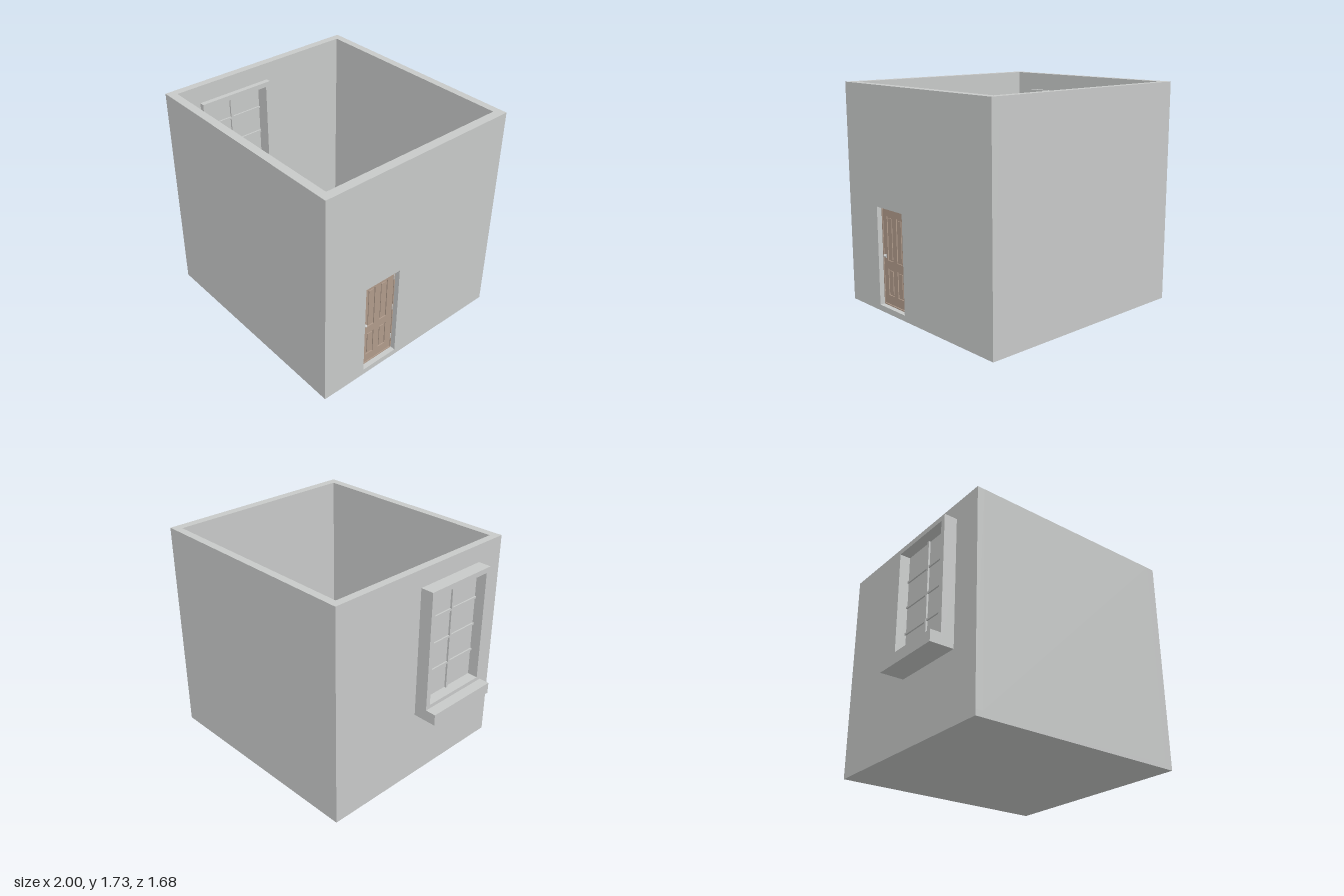
import * as THREE from 'three';

const gray = new THREE.MeshStandardMaterial({ color: 0xc8cac9, side: THREE.DoubleSide });
gray.name = 'plaster gray';
const wood = new THREE.MeshStandardMaterial({ color: 0xb09b8b, side: THREE.DoubleSide });
wood.name = 'light wood';

function group(name, parent) {
  const g = new THREE.Group();
  g.name = name;
  parent.add(g);
  return g;
}
function add(parent, name, geo, mat, x = 0, y = 0, z = 0) {
  const m = new THREE.Mesh(geo, mat);
  m.name = name;
  m.position.set(x, y, z);
  parent.add(m);
  return m;
}
// Box given by its limits on each axis
function box(parent, name, mat, [x0, x1], [y0, y1], [z0, z1]) {
  return add(parent, name, new THREE.BoxGeometry(x1 - x0, y1 - y0, z1 - z0), mat,
    (x0 + x1) / 2, (y0 + y1) / 2, (z0 + z1) / 2);
}
const rod = (parent, name, mat, r, h, x, y, z) =>
  add(parent, name, new THREE.CylinderGeometry(r, r, h, 12), mat, x, y + h / 2, z);
const ball = (parent, name, mat, r, x, y, z) =>
  add(parent, name, new THREE.SphereGeometry(r, 14, 10), mat, x, y, z);
const lathe = (parent, name, mat, pts, x, y, z) =>
  add(parent, name, new THREE.LatheGeometry(pts.map(p => new THREE.Vector2(...p)), 24), mat, x, y, z);

function rect(path, [z0, z1], [y0, y1]) {
  path.moveTo(-z1, y0).lineTo(-z0, y0).lineTo(-z0, y1).lineTo(-z1, y1).closePath();
  return path;
}
// Upright slab in the zy plane, with rectangular holes, running from x0 to x1
function slab(parent, name, mat, [x0, x1], z, y, holes = []) {
  const shape = rect(new THREE.Shape(), z, y);
  for (const [hz, hy] of holes) shape.holes.push(rect(new THREE.Path(), hz, hy));
  const geo = new THREE.ExtrudeGeometry(shape, { depth: x1 - x0, bevelEnabled: false });
  geo.rotateY(Math.PI / 2);
  return add(parent, name, geo, mat, x0);
}

function buildRoom(root) {
  const g = group('room', root);
  box(g, 'floor', gray, [-0.81, 1], [0, 0.045], [-0.84, 0.84]);
  box(g, 'backWall', gray, [-0.75, 0.93], [0.045, 1.73], [-0.84, -0.78]);
  box(g, 'frontWall', gray, [-0.75, 0.93], [0.045, 1.73], [0.775, 0.84]);
  slab(g, 'windowWall', gray, [-0.81, -0.75], [-0.84, 0.84], [0.045, 1.73], [[[-0.02, 0.57], [0.62, 1.57]]]);
  slab(g, 'doorWall', gray, [0.93, 1], [-0.84, 0.84], [0.045, 1.73], [[[0.15, 0.47], [0.046, 0.82]]]);
}

function buildWindow(root) {
  const g = group('window', root);
  slab(g, 'windowFrame', gray, [-0.915, -0.71], [-0.04, 0.59], [0.55, 1.59], [[[0, 0.55], [0.67, 1.55]]]);
  box(g, 'windowSill', gray, [-1, -0.9], [0.55, 0.64], [-0.04, 0.59]);
  box(g, 'windowPane', gray, [-0.83, -0.82], [0.67, 1.55], [0, 0.55]);
  box(g, 'mullion', gray, [-0.845, -0.805], [0.67, 1.55], [0.265, 0.285]);
  for (let i = 1; i < 4; i++) {
    const y = 0.67 + 0.22 * i;
    box(g, 'glazingBar', gray, [-0.842, -0.808], [y - 0.008, y + 0.008], [0, 0.55]);
  }
}

function buildDoor(root) {
  const g = group('door', root);
  const panels = [];
  for (const z of [[0.22, 0.29], [0.34, 0.41]])
    for (const y of [[0.13, 0.34], [0.405, 0.75]]) panels.push([z, y]);
  box(g, 'doorCore', wood, [0.937, 0.948], [0.058, 0.81], [0.16, 0.458]);
  for (const x of [[0.93, 0.937], [0.948, 0.956]])
    slab(g, 'doorFace', wood, x, [0.16, 0.458], [0.058, 0.81], panels);
  for (const [[z0, z1], [y0, y1]] of panels)
    box(g, 'raisedPanel', wood, [0.932, 0.954], [y0 + 0.013, y1 - 0.013], [z0 + 0.013, z1 - 0.013]);
  slab(g, 'doorFrame', wood, [0.93, 0.96], [0.15, 0.47], [0.046, 0.82], [[[0.158, 0.46], [0.055, 0.813]]]);
  // Knobs and key plates on both faces
  for (const [x, s] of [[0.956, 1], [0.93, -1]]) {
    ball(g, 'doorKnob', gray, 0.011, x + s * 0.014, 0.44, 0.433);
    box(g, 'keyPlate', gray, s > 0 ? [x, x + 0.003] : [x - 0.003, x], [0.42, 0.45], [0.427, 0.439]);
  }
  for (const y of [0.14, 0.43, 0.72]) rod(g, 'hinge', gray, 0.004, 0.05, 0.957, y, 0.158);
}

function buildBed(root) {
  const g = group('bed', root);
  for (const [z, top] of [[-0.75, 0.42], [0.07, 0.3]]) {
    for (const x of [-0.24, 0.125]) {
      rod(g, 'bedPost', wood, 0.009, top - 0.045, x, 0.045, z);
      ball(g, 'bedPostCap', wood, 0.013, x, top, z);
    }
    box(g, 'bedBoard', wood, [-0.24, 0.125], [0.12, top - 0.03], [z - 0.006, z + 0.006]);
  }
  for (const x of [-0.238, 0.123]) box(g, 'sideRail', wood, [x - 0.004, x + 0.004], [0.11, 0.16], [-0.75, 0.07]);
  box(g, 'mattress', gray, [-0.234, 0.119], [0.12, 0.23], [-0.743, 0.063]);
  const pillow = ball(g, 'pillow', gray, 1, -0.057, 0.235, -0.67);
  pillow.scale.set(0.15, 0.025, 0.065);
}

function buildNightstand(root) {
  const g = group('nightstand', root);
  box(g, 'nightstandTop', wood, [-0.505, -0.345], [0.24, 0.255], [-0.76, -0.61]);
  box(g, 'nightstandBody', wood, [-0.495, -0.355], [0.14, 0.24], [-0.755, -0.617]);
  box(g, 'drawerFront', wood, [-0.485, -0.365], [0.155, 0.225], [-0.617, -0.612]);
  ball(g, 'drawerKnob', wood, 0.007, -0.425, 0.19, -0.606);
  for (const x of [-0.488, -0.362]) for (const z of [-0.748, -0.624])
    rod(g, 'nightstandLeg', wood, 0.007, 0.1, x, 0.045, z);
  const lamp = group('lamp', g);
  lathe(lamp, 'lampBase', gray, [[0, 0], [0.04, 0], [0.036, 0.01], [0.012, 0.02], [0.026, 0.05], [0.008, 0.085], [0.006, 0.12]], -0.425, 0.255, -0.685);
  lathe(lamp, 'lampShade', wood, [[0.068, 0.1], [0.036, 0.2]], -0.425, 0.255, -0.685);
  lathe(lamp, 'lampBulb', gray, [[0.008, 0.12], [0.03, 0.155], [0.022, 0.18], [0, 0.19]], -0.425, 0.255, -0.685);
}

function buildDesk(root) {
  const g = group('desk', root);
  box(g, 'deskTop', wood, [0.745, 0.92], [0.31, 0.325], [-0.76, -0.35]);
  box(g, 'deskApron', wood, [0.755, 0.915], [0.25, 0.31], [-0.75, -0.36]);
  for (const z of [-0.655, -0.455]) {
    box(g, 'deskDrawer', wood, [0.75, 0.755], [0.258, 0.304], [z - 0.085, z + 0.085]);
    ball(g, 'deskKnob', wood, 0.006, 0.745, 0.281, z);
  }
  for (const x of [0.765, 0.905]) for (const z of [-0.74, -0.37])
    box(g, 'deskLeg', wood, [x - 0.01, x + 0.01], [0.045, 0.25], [z - 0.01, z + 0.01]);
  const paper = box(g, 'paper', gray, [-0.043, 0.043], [0.325, 0.329], [-0.03, 0.03]);
  paper.position.x = 0.84;
  paper.position.z = -0.635;
  paper.rotation.y = 0.25;
}

function buildChair(root) {
  const g = group('chair', root);
  g.position.set(0.627, 0.045, -0.628);
  g.rotation.y = 0.3;
  // Seat tapers slightly to the back
  const seat = new THREE.Shape([[-0.08, -0.08], [0.08, -0.08], [0.07, 0.08], [-0.07, 0.08]].map(p => new THREE.Vector2(...p)));
  const geo = new THREE.ExtrudeGeometry(seat, { depth: 0.014, bevelEnabled: false });
  geo.rotateX(-Math.PI / 2);
  add(g, 'chairSeat', geo, wood, 0, 0.165, 0);
  for (const x of [-0.068, 0.068]) for (const z of [-0.07, 0.07])
    rod(g, 'chairLeg', wood, 0.006, 0.165, x, 0, z);
  for (const x of [-0.076, 0.076]) ball(g, 'seatCorner', wood, 0.007, x, 0.172, 0.077);
  const rail = new THREE.QuadraticBezierCurve3(
    new THREE.Vector3(-0.075, 0.36, -0.075), new THREE.Vector3(0, 0.36, -0.12), new THREE.Vector3(0.075, 0.36, -0.075));
  add(g, 'backRail', new THREE.TubeGeometry(rail, 16, 0.007, 8), wood);
  for (let i = 0; i <= 6; i++) {
    const p = rail.getPoint(i / 6);
    rod(g, 'backSpindle', wood, 0.004, 0.19, p.x, 0.17, p.z);
  }
}

function buildDresser(root) {
  const g = group('dresser', root);
  box(g, 'dresserTop', wood, [-0.08, 0.93], [0.335, 0.35], [0.64, 0.775]);
  box(g, 'dresserBody', wood, [-0.07, 0.93], [0.045, 0.335], [0.65, 0.775]);
  for (let i = 0; i < 4; i++) for (let j = 0; j < 2; j++) {
    const x = -0.055 + i * 0.245, y = 0.07 + j * 0.13;
    box(g, 'dresserDrawer', wood, [x, x + 0.23], [y, y + 0.115], [0.645, 0.65]);
    ball(g, 'dresserKnob', wood, 0.005, x + 0.115, y + 0.06, 0.645);
  }
  // Two loose books
  for (const [x, z, turn, y] of [[0.44, 0.74, -0.2, 0.35], [0.503, 0.73, 0.5, 0.358]]) {
    const b = add(g, 'book', new THREE.BoxGeometry(0.075, 0.012, 0.058), gray, x, y + 0.006, z);
    b.rotation.y = turn;
  }
  // Two-armed candle holder
  const c = group('candleHolder', g);
  c.position.set(0.713, 0.35, 0.731);
  lathe(c, 'holderBase', gray, [[0, 0], [0.028, 0], [0.024, 0.01], [0.007, 0.02], [0.012, 0.05], [0.005, 0.09], [0.012, 0.11], [0, 0.115]], 0, 0, 0);
  for (const s of [-1, 1]) {
    const arm = new THREE.QuadraticBezierCurve3(
      new THREE.Vector3(0, 0.08, 0), new THREE.Vector3(s * 0.065, 0.05, 0), new THREE.Vector3(s * 0.067, 0.1, 0));
    add(c, 'holderArm', new THREE.TubeGeometry(arm, 12, 0.004, 8), gray);
    lathe(c, 'candleCup', gray, [[0, 0], [0.016, 0.006], [0.016, 0.01], [0, 0.01]], s * 0.067, 0.098, 0);
    rod(c, 'candle', gray, 0.006, 0.05, s * 0.067, 0.106, 0);
  }
}

export function createModel() {
  const root = new THREE.Group();
  root.name = 'bedroom';
  for (const build of [buildRoom, buildWindow, buildDoor, buildBed, buildNightstand, buildDesk, buildChair, buildDresser]) build(root);
  return root;
}
